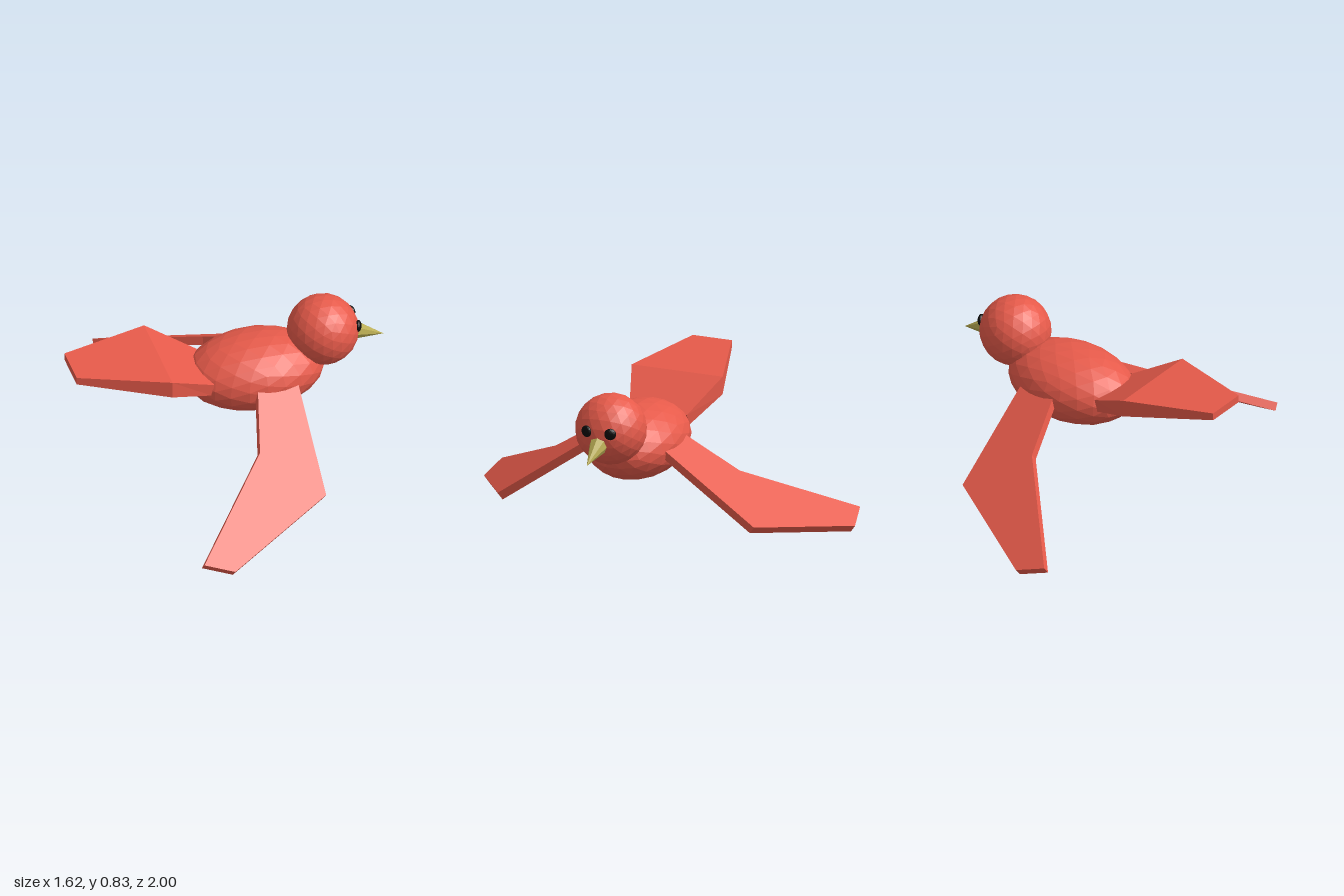
import * as THREE from 'three';

const flat = (color) => new THREE.MeshStandardMaterial({ color, flatShading: true });

// Joins four-cornered cross-sections into a closed faceted solid.
function loft(sections) {
  const pos = sections.flat(2);
  const index = [];
  for (let s = 0; s < sections.length - 1; s++) {
    for (let i = 0; i < 4; i++) {
      const a0 = s * 4 + i, a1 = s * 4 + (i + 1) % 4;
      const b0 = a0 + 4, b1 = a1 + 4;
      index.push(a0, b0, a1, a1, b0, b1);
    }
  }
  const e = (sections.length - 1) * 4;
  index.push(0, 1, 2, 0, 2, 3, e, e + 2, e + 1, e, e + 3, e + 2);
  const geo = new THREE.BufferGeometry();
  geo.setAttribute('position', new THREE.Float32BufferAttribute(pos, 3));
  geo.setIndex(index);
  const out = geo.toNonIndexed();
  out.computeVertexNormals();
  return out;
}

export function createModel() {
  const bird = new THREE.Group();
  bird.name = 'bird';
  const red = flat(0xe65a4a);
  const black = flat(0x0a0a0a);
  const horn = flat(0xb8ab52);

  const add = (name, geo, mat, x = 0, y = 0, z = 0) => {
    const mesh = new THREE.Mesh(geo, mat);
    mesh.name = name;
    mesh.position.set(x, y, z);
    bird.add(mesh);
    return mesh;
  };

  // Body and head: faceted balls
  add('body', new THREE.IcosahedronGeometry(1, 3), red, 0.14, 0.495, 0).scale.set(0.355, 0.185, 0.245);
  add('head', new THREE.IcosahedronGeometry(0.18, 3), red, 0.495, 0.66, 0);

  // Eyes
  for (const side of [1, -1]) {
    const eye = add(side > 0 ? 'eyeFront' : 'eyeBack', new THREE.IcosahedronGeometry(0.03, 2), black, 0.66, 0.69, side * 0.064);
    eye.scale.x = 0.55;
    eye.rotation.y = -side * 0.35;
  }

  // Beak: cone pointing forward and slightly down
  const base = new THREE.Vector3(0.635, 0.63, 0);
  const tip = new THREE.Vector3(0.81, 0.563, 0);
  const dir = tip.clone().sub(base);
  const mid = base.clone().add(tip).multiplyScalar(0.5);
  const beak = add('beak', new THREE.ConeGeometry(0.055, dir.length(), 8), horn, mid.x, mid.y, 0);
  beak.quaternion.setFromUnitVectors(new THREE.Vector3(0, 1, 0), dir.normalize());

  // Wings: flat slabs on a sloping plane, cranked halfway
  const top = ([x, z]) => [x, 0.17 - 0.16 * (x - 0.3) - 0.71 * (z - 0.69), z];
  const under = (p) => {
    const [x, y, z] = top(p);
    return [x - 0.006, y - 0.034, z - 0.024];
  };
  // rear and leading edge at root, crank and tip
  const outline = [
    [[0.115, 0.13], [0.305, 0.13]],
    [[0.02, 0.495], [0.305, 0.69]],
    [[-0.41, 0.965], [-0.26, 1.0]],
  ];
  const sections = outline.map(([rear, lead]) => [top(rear), top(lead), under(lead), under(rear)]);
  const mirrored = sections.map((s) => s.map(([x, y, z]) => [x, y, -z])).reverse();
  add('wingFront', loft(sections), red);
  add('wingBack', loft(mirrored), red);

  // Tail: fan that rises from the body, bends, then tapers
  // each row: top x, top y, bottom x, bottom y, half width
  const tail = [
    [-0.815, 0.72, -0.815, 0.68, 0.105],
    [-0.36, 0.692, -0.36, 0.6, 0.245],
    [-0.115, 0.557, -0.13, 0.495, 0.155],
  ];
  add('tail', loft(tail.map(([tx, ty, bx, by, w]) => [[tx, ty, w], [tx, ty, -w], [bx, by, -w], [bx, by, w]])), red);

  return bird;
}
